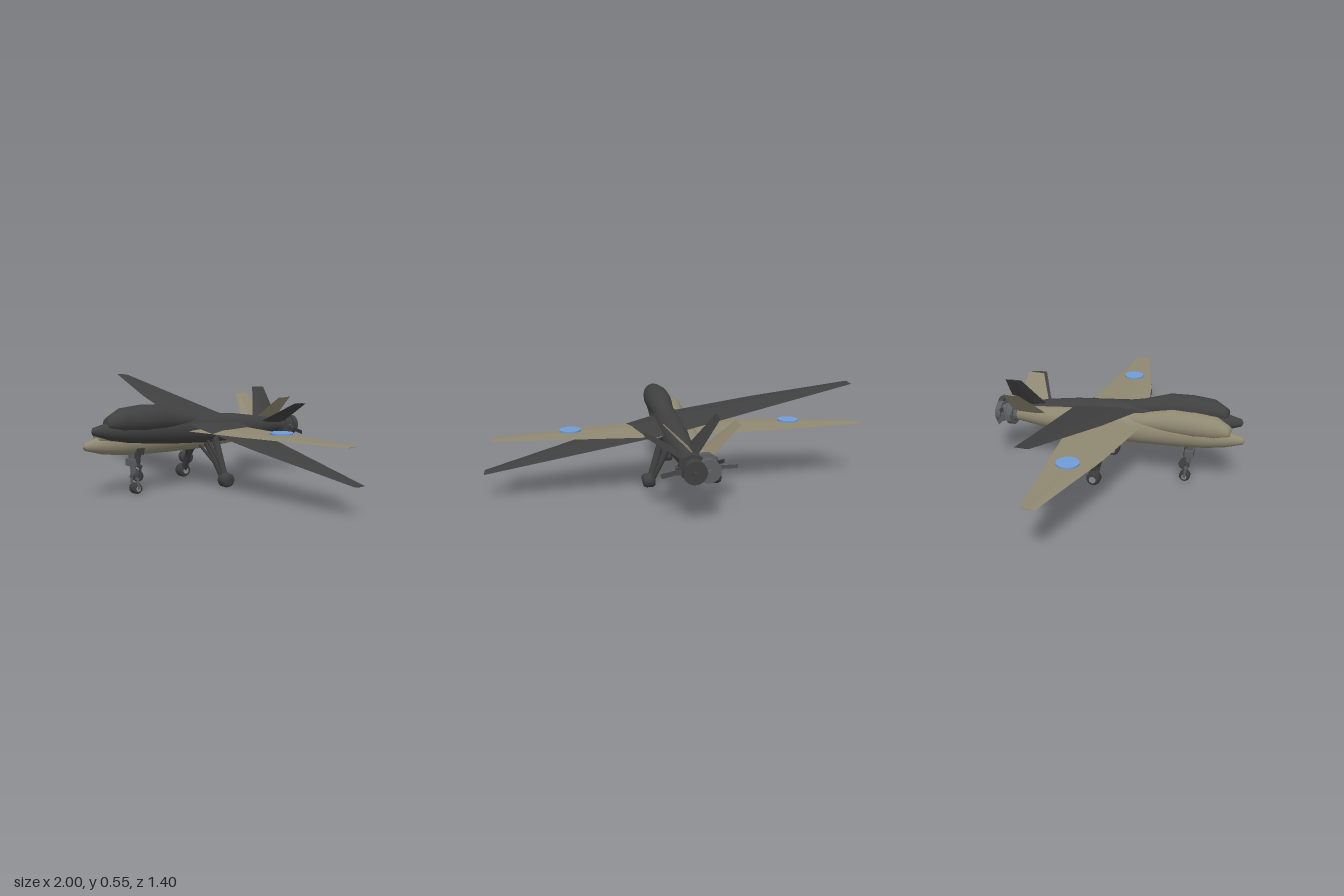
import * as THREE from 'three';

const mat = (name, color, side = THREE.FrontSide) => {
  const m = new THREE.MeshStandardMaterial({ color, side });
  m.name = name;
  return m;
};

// Skin between cross-section rings of equal length, with both ends closed
function loft(rings, flat) {
  const n = rings[0].length, pos = [], idx = [];
  rings.forEach(r => r.forEach(p => pos.push(...p)));
  for (let i = 0; i < rings.length - 1; i++) {
    for (let j = 0; j < n; j++) {
      const k = (j + 1) % n, a = i * n + j, b = i * n + k;
      idx.push(a, a + n, b, b, a + n, b + n);
    }
  }
  const e = (rings.length - 1) * n;
  for (let j = 1; j < n - 1; j++) idx.push(0, j, j + 1, e, e + j + 1, e + j);
  let g = new THREE.BufferGeometry();
  g.setAttribute('position', new THREE.Float32BufferAttribute(pos, 3));
  g.setIndex(idx);
  if (flat) g = g.toNonIndexed();
  g.computeVertexNormals();
  return g;
}

// Thin aerofoil section: span position, leading edge, trailing edge, thickness
const foil = ([x, le, te, t]) => {
  const z = le + (te - le) * 0.35;
  return [[x, 0, le], [x, t / 2, z], [x, 0, te], [x, -t / 2, z]];
};

// One aircraft, wheels on y = 0, centred on x = 0
function aircraft(body, engineMat, gear, hubMat, blue) {
  const g = new THREE.Group();
  const add = (name, geo, m, x = 0, y = 0, z = 0, parent = g) => {
    const o = new THREE.Mesh(geo, m);
    o.name = name;
    o.position.set(x, y, z);
    parent.add(o);
    return o;
  };
  const strut = (name, a, b, r1, r2, m) => {
    const A = new THREE.Vector3(...a), B = new THREE.Vector3(...b), d = B.clone().sub(A);
    const o = add(name, new THREE.CylinderGeometry(r2, r1, d.length(), 10), m);
    o.position.copy(A).addScaledVector(d, 0.5);
    o.quaternion.setFromUnitVectors(new THREE.Vector3(0, 1, 0), d.normalize());
  };
  const disc = (name, r, z0, z1, m) =>
    add(name, new THREE.CylinderGeometry(r, r, z0 - z1, 18), m, 0, 0.27, (z0 + z1) / 2).rotateX(Math.PI / 2);

  // Fuselage, tail to nose
  const profile = [[0, -0.555], [0.036, -0.555], [0.054, -0.4], [0.073, -0.2], [0.08, 0],
    [0.077, 0.2], [0.071, 0.36], [0.061, 0.5], [0.045, 0.6], [0.019, 0.69], [0, 0.7]];
  const fus = new THREE.LatheGeometry(profile.map(p => new THREE.Vector2(...p)), 28);
  fus.rotateX(Math.PI / 2);
  fus.scale(0.95, 1, 1);
  add('fuselage', fus, body, 0, 0.27, 0);

  // Raised antenna dome: z, centre y, half width, half height
  const dome = [[0.625, 0.308, 0.03, 0.025], [0.61, 0.31, 0.038, 0.034], [0.55, 0.322, 0.058, 0.06],
    [0.44, 0.328, 0.072, 0.069], [0.32, 0.33, 0.072, 0.069], [0.17, 0.318, 0.056, 0.044], [0.0, 0.3, 0.04, 0.04]];
  add('noseDome', loft(dome.map(([z, cy, rx, ry]) => Array.from({ length: 20 }, (_, i) => {
    const a = i / 20 * Math.PI * 2;
    return [rx * Math.cos(a), cy + ry * Math.sin(a), z];
  }))), body);

  // Main wing in one span
  const half = [[0.05, 0.175, -0.195, 0.018], [0.475, 0.095, -0.157, 0.012], [0.976, -0.043, -0.115, 0.005]];
  const span = [...half.map(([x, ...r]) => [-x, ...r]).reverse(), ...half];
  add('wing', loft(span.map(foil), true), body, 0, 0.31, 0);

  // V tail
  const fin = loft([[0, -0.355, -0.55, 0.012], [0.06, -0.385, -0.555, 0.011], [0.223, -0.455, -0.545, 0.005]].map(foil), true);
  for (const s of [1, -1]) {
    add('tailFin', fin, body, 0.02 * s, 0.29, 0).rotation.z = s > 0 ? 0.8 : Math.PI - 0.8;
  }

  // Rear engine
  disc('engineCore', 0.042, -0.54, -0.66, engineMat);
  disc('engineFlange', 0.064, -0.558, -0.592, engineMat);
  disc('engineRing', 0.05, -0.6, -0.615, engineMat);
  disc('engineCover', 0.056, -0.63, -0.66, engineMat);
  disc('propellerShaft', 0.012, -0.66, -0.682, engineMat);
  for (const s of [1, -1]) {
    add('cylinderHead', new THREE.BoxGeometry(0.03, 0.035, 0.03), engineMat, 0.062 * s, 0.27, -0.575);
    const blade = add('propellerBlade', new THREE.BoxGeometry(0.1, 0.022, 0.005), engineMat, 0.098 * s, 0.27, -0.597);
    blade.rotation.x = 0.35 * s;
  }

  // Wheel with a hub on each face
  const wheel = (name, x, z, r, w) => {
    const o = new THREE.Group();
    o.name = name;
    o.position.set(x, r, z);
    g.add(o);
    const shape = [[0, -w], [r * 0.8, -w], [r, -w * 0.55], [r, w * 0.55], [r * 0.8, w], [0, w]];
    add('tyre', new THREE.LatheGeometry(shape.map(p => new THREE.Vector2(...p)), 18), gear, 0, 0, 0, o).rotation.z = Math.PI / 2;
    add('hub', new THREE.CylinderGeometry(r * 0.5, r * 0.5, w * 2 + 0.004, 14), hubMat, 0, 0, 0, o).rotation.z = Math.PI / 2;
  };

  // Main gear
  for (const s of [1, -1]) {
    wheel('mainWheel', 0.18 * s, -0.05, 0.037, 0.029);
    strut('mainLeg', [0.165 * s, 0.045, -0.048], [0.05 * s, 0.25, -0.02], 0.017, 0.02, gear);
    strut('mainBrace', [0.14 * s, 0.09, -0.045], [0.05 * s, 0.22, 0.02], 0.008, 0.008, gear);
  }
  // Nose gear
  wheel('noseWheel', 0, 0.4, 0.028, 0.026);
  for (const s of [1, -1]) {
    strut('noseFork', [0.031 * s, 0.028, 0.4], [0.026 * s, 0.085, 0.408], 0.006, 0.006, engineMat);
  }
  add('forkBridge', new THREE.BoxGeometry(0.06, 0.014, 0.02), engineMat, 0, 0.085, 0.408);
  strut('noseLeg', [0, 0.08, 0.408], [0, 0.23, 0.425], 0.014, 0.017, engineMat);
  add('noseCollar', new THREE.BoxGeometry(0.052, 0.035, 0.045), engineMat, 0, 0.165, 0.42);

  // Round wing markings
  if (blue) {
    for (const s of [1, -1]) {
      add('wingRoundel', new THREE.CylinderGeometry(0.055, 0.055, 0.0095, 32), blue, 0.586 * s, 0.332, -0.04);
    }
  }
  return g;
}

export function createModel() {
  const tan = mat('tan', 0x8f8871), charcoal = mat('charcoal', 0x404040), grey = mat('grey', 0x5c5e61);
  const rubber = mat('rubber', 0x3c3c3d), metal = mat('metal', 0x85878a), blue = mat('blue', 0x6f9cd6);
  const model = new THREE.Group();
  model.name = 'aircraftPair';

  // Level tan aircraft
  const level = aircraft(tan, grey, rubber, metal, blue);
  level.name = 'levelAircraft';
  level.position.x = -0.025;

  // Dark aircraft, banked and slightly nose-up about its wing centre
  const dark = aircraft(charcoal, charcoal, charcoal, charcoal, null);
  dark.name = 'darkAirframe';
  dark.position.y = -0.31;
  const banked = new THREE.Group();
  banked.name = 'bankedAircraft';
  banked.position.set(0.042, 0.347, -0.02);
  banked.rotation.set(-0.056, -0.013, -0.208);
  banked.add(dark);

  model.add(level, banked);
  return model;
}
